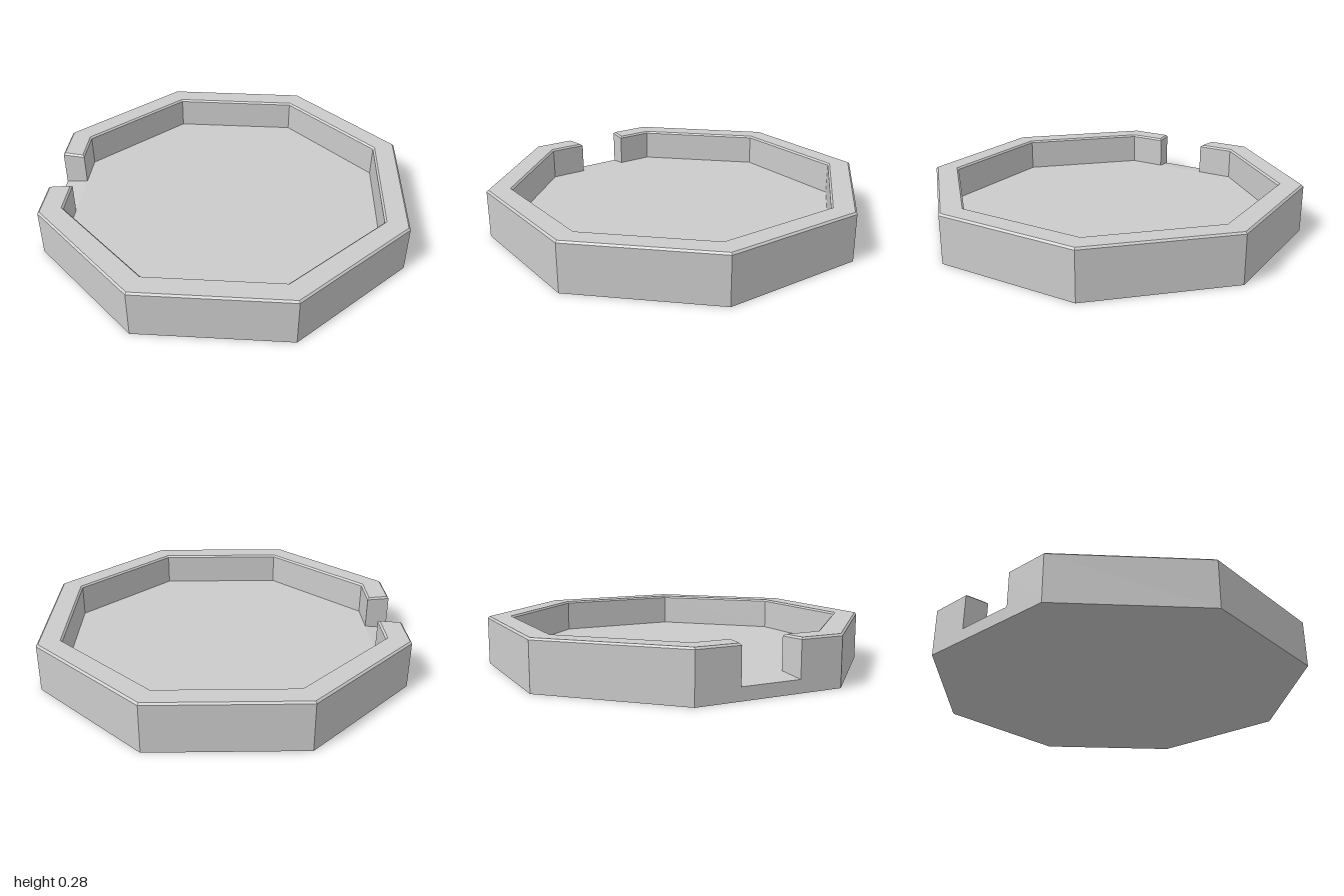
import * as THREE from 'three';

const HEIGHT = 0.275, CHAMFER = 0.01, FLOOR = 0.09, SILL = 0.07;
const OUTER = 1, INNER = 0.87;          // distance from centre to the flats
const GAP_OUT = 0.168, GAP_IN = 0.148;  // half widths of the opening

const material = new THREE.MeshStandardMaterial({ color: 0xcccccc, flatShading: true });

// Octagon corners as (x, z), starting and ending beside the -x flat
function octagon(apothem) {
  const r = apothem / Math.cos(Math.PI / 8);
  return Array.from({ length: 8 }, (_, i) => {
    const a = -Math.PI + Math.PI / 8 + i * Math.PI / 4;
    return new THREE.Vector2(r * Math.cos(a), r * Math.sin(a));
  });
}

// Moves every edge of a closed outline inward by d, with mitred corners
function inset(points, d) {
  const n = points.length;
  const normal = (a, b) => new THREE.Vector2(a.y - b.y, b.x - a.x).normalize();
  return points.map((p, i) => {
    const n1 = normal(points[(i + n - 1) % n], p);
    const n2 = normal(p, points[(i + 1) % n]);
    return n1.clone().add(n2).multiplyScalar(d / (1 + n1.dot(n2))).add(p);
  });
}

const at = (p, y) => [p.x, y, p.y];

function quad(out, a, b, c, d) {
  out.push(...a, ...b, ...c, ...a, ...c, ...d);
}

// Flat polygon at height y, facing up or down
function cap(out, points, y, up) {
  for (const [a, b, c] of THREE.ShapeUtils.triangulateShape(points, [])) {
    const order = up ? [a, c, b] : [a, b, c];
    for (const i of order) out.push(...at(points[i], y));
  }
}

function makeMesh(name, positions) {
  const geometry = new THREE.BufferGeometry();
  geometry.setAttribute('position', new THREE.Float32BufferAttribute(positions, 3));
  geometry.computeVertexNormals();
  const mesh = new THREE.Mesh(geometry, material);
  mesh.name = name;
  return mesh;
}

export function createModel() {
  const group = new THREE.Group();
  group.name = 'octagonalTray';
  const outer = octagon(OUTER), inner = octagon(INNER);
  const v = (x, z) => new THREE.Vector2(x, z);

  // Rim: one open ring outline, upright walls, chamfered top edges
  const outline = [
    v(-OUTER, -GAP_OUT), ...outer, v(-OUTER, GAP_OUT),
    v(-INNER, GAP_IN), ...[...inner].reverse(), v(-INNER, -GAP_IN),
  ];
  const top = inset(outline, CHAMFER);
  const bottom = (i) => (i < 10 ? 0 : FLOOR);
  const rim = [];
  outline.forEach((p, i) => {
    const j = (i + 1) % outline.length, q = outline[j], y = HEIGHT - CHAMFER;
    quad(rim, at(p, bottom(i)), at(p, y), at(q, y), at(q, bottom(j)));
    quad(rim, at(p, y), at(top[i], HEIGHT), at(top[j], HEIGHT), at(q, y));
  });
  cap(rim, top, HEIGHT, true);
  group.add(makeMesh('rim', rim));

  // Floor and underside
  const floor = [], underside = [];
  cap(floor, inner, FLOOR, true);
  cap(underside, outer, 0, false);
  group.add(makeMesh('floor', floor), makeMesh('underside', underside));

  // Gently sloping sill in the opening, with its outer face
  const sill = [];
  const a = v(-OUTER, -GAP_OUT), b = v(-OUTER, GAP_OUT);
  quad(sill, at(a, SILL), at(b, SILL), at(v(-INNER, GAP_IN), FLOOR), at(v(-INNER, -GAP_IN), FLOOR));
  quad(sill, at(b, 0), at(b, SILL), at(a, SILL), at(a, 0));
  group.add(makeMesh('openingSill', sill));

  return group;
}
